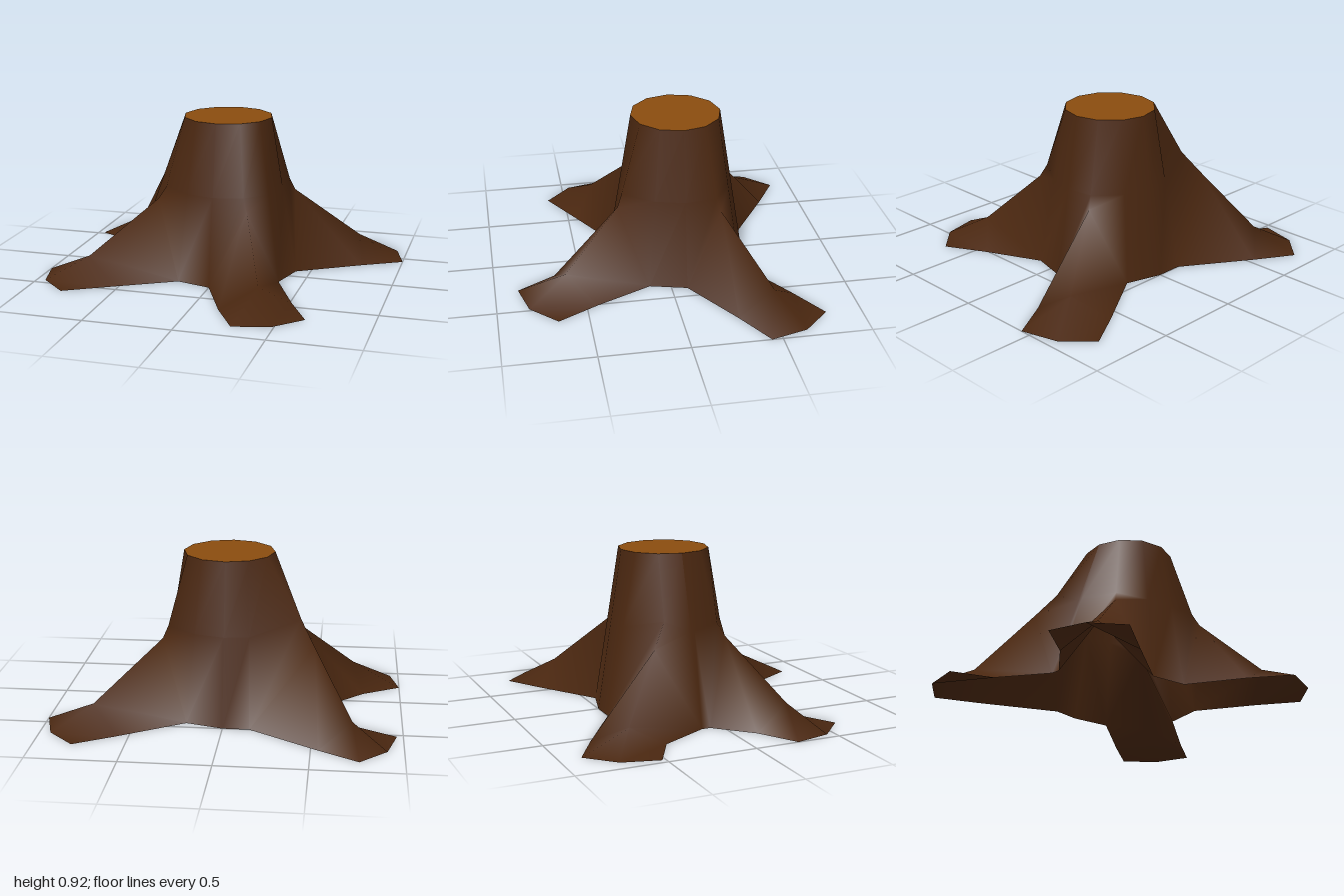
import * as THREE from 'three';

const TOP_Y = 0.92, TOP_R = 0.26, TOP_Z = -0.09, SIDES = 12;

// Each root: ground outline on its two sides (valley, middle, tip) and its ridge
// k = index of the trunk edge the line starts from; side points are [x, z], ridge points [x, y, z]
const roots = [
  { k: [0, 1, 2],
    start: [[0, 0.325], [0.15, 0.65], [0.28, 0.87]],
    ridge: [[0.18, 0.52, 0.25], [0.21, 0.45, 0.28], [0.36, 0.13, 0.6], [0.485, 0, 0.82]],
    end: [[0.36, 0.12], [0.51, 0.44], [0.635, 0.67]] },
  { k: [3, 4, 5],
    start: [[0.415, -0.09], [0.77, -0.31], [1, -0.44]],
    ridge: [[0.33, 0.52, -0.27], [0.36, 0.45, -0.29], [0.72, 0.13, -0.52], [0.94, 0, -0.65]],
    end: [[0.21, -0.44], [0.57, -0.67], [0.79, -0.8]] },
  { k: [7, 8, 9],
    start: [[-0.15, -0.5], [-0.54, -0.75], [-0.76, -0.88]],
    ridge: [[-0.42, 0.58, -0.27], [-0.5, 0.45, -0.36], [-0.72, 0.11, -0.6], [-0.91, 0, -0.73]],
    end: [[-0.59, -0.12], [-0.745, -0.4], [-0.965, -0.52]] },
  { k: [9, 10, 11],
    start: [[-0.59, -0.07], [-0.78, 0.12], [-1, 0.25]],
    ridge: [[-0.32, 0.52, 0.1], [-0.36, 0.45, 0.13], [-0.72, 0.13, 0.33], [-0.95, 0, 0.455]],
    end: [[-0.2, 0.27], [-0.52, 0.45], [-0.79, 0.605]] },
];

// Point on the sawn rim
function rim(k) {
  const a = (k / SIDES) * Math.PI * 2;
  return [TOP_R * Math.sin(a), TOP_Y, TOP_Z + TOP_R * Math.cos(a)];
}

// Line from the rim down the trunk to the ground, then out along the root's foot
function sideColumn(k, ground) {
  const top = rim(k), [gx, gz] = ground[0], t = 0.45;
  const waist = [top[0] + (gx - top[0]) * t, TOP_Y * (1 - t), top[2] + (gz - top[2]) * t];
  return [top, waist, ...ground.map(([x, z]) => [x, 0, z])];
}

function barkGeometry() {
  const columns = [];
  for (const { k, start, ridge, end } of roots) {
    // extra trunk line in the wide gap at the back
    if (k[0] === 7) columns.push(sideColumn(6, [[0, -0.5]]));
    columns.push(sideColumn(k[0], start), [rim(k[1]), ...ridge], sideColumn(k[2], end));
    columns.at(-1).isEnd = true;
  }
  const positions = [], index = [], first = [];
  for (const column of columns) {
    first.push(positions.length / 3);
    column.forEach((p) => positions.push(...p));
  }
  columns.forEach((column, i) => {
    const j = (i + 1) % columns.length;
    // between two roots the skin stops at the ground
    const rows = column.isEnd || column.length === 3 ? 3 : Math.min(column.length, columns[j].length);
    for (let r = 0; r < rows - 1; r++) {
      const a = first[i] + r, d = first[j] + r;
      index.push(a, a + 1, d, a + 1, d + 1, d);
    }
  });
  const geometry = new THREE.BufferGeometry();
  geometry.setAttribute('position', new THREE.Float32BufferAttribute(positions, 3));
  geometry.setIndex(index);
  geometry.computeVertexNormals();
  return geometry;
}

export function createModel() {
  const bark = new THREE.MeshStandardMaterial({ color: 0x4a2710, side: THREE.DoubleSide });
  bark.name = 'bark brown';
  const wood = new THREE.MeshStandardMaterial({ color: 0x8a4c0f });
  wood.name = 'cut wood';

  const group = new THREE.Group();
  group.name = 'treeStump';

  // Trunk flaring into four roots, open underneath
  const trunk = new THREE.Mesh(barkGeometry(), bark);
  trunk.name = 'trunkAndRoots';

  // Sawn top
  const cut = new THREE.Mesh(new THREE.CircleGeometry(TOP_R, SIDES).rotateX(-Math.PI / 2), wood);
  cut.position.set(0, TOP_Y, TOP_Z);
  cut.name = 'cutTop';

  group.add(trunk, cut);
  return group;
}
